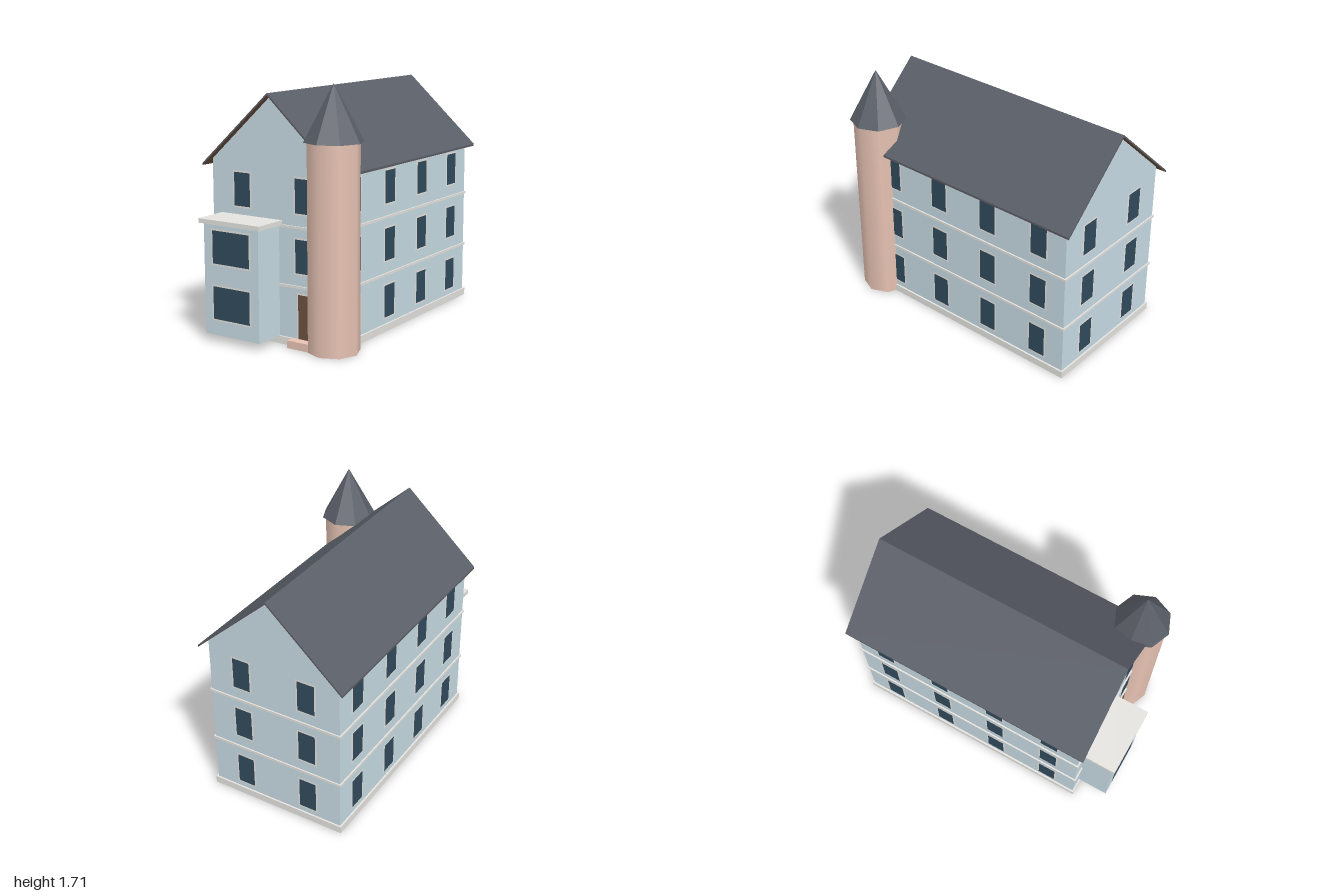
import * as THREE from 'three';

const material = (name, color, side = THREE.FrontSide) => {
  const m = new THREE.MeshStandardMaterial({ color, side });
  m.name = name;
  return m;
};

export function createModel() {
  const house = new THREE.Group();
  house.name = 'house';
  const wall = material('pale blue wall', 0xc7dae3);
  const stone = material('light stone', 0xe3e2de);
  const plaster = material('pink plaster', 0xe6c2b3, THREE.DoubleSide);
  const slate = material('dark slate', 0x5a5e67, THREE.DoubleSide);
  const wood = material('brown wood', 0x6a5240);
  const glass = material('window glass', 0x314a5c);

  const add = (name, geometry, mat, parent = house) => {
    const mesh = new THREE.Mesh(geometry, mat);
    mesh.name = name;
    parent.add(mesh);
    return mesh;
  };
  // Box given by its limits on each axis
  const box = (name, mat, [x0, x1], [y0, y1], [z0, z1]) => {
    const g = new THREE.BoxGeometry(x1 - x0, y1 - y0, z1 - z0);
    g.translate((x0 + x1) / 2, (y0 + y1) / 2, (z0 + z1) / 2);
    return add(name, g, mat);
  };
  // Profile in x and y, extruded from z0 to z1
  const prism = (name, mat, points, z0, z1) => {
    const shape = new THREE.Shape(points.map(([x, y]) => new THREE.Vector2(x, y)));
    const g = new THREE.ExtrudeGeometry(shape, { depth: z1 - z0, bevelEnabled: false });
    g.translate(0, 0, z0);
    return add(name, g, mat);
  };

  const ridge = -0.05, left = 0.437, right = -0.537, front = 0.757, back = -0.95;

  // Gabled body
  prism('body', wall, [[right, 0.04], [left, 0.04], [left, 1.171], [ridge, 1.613], [right, 1.171]], back, front);

  // Plinth and floor bands
  box('plinth', stone, [-0.55, 0.45], [0, 0.05], [-0.962, 0.769]);
  for (const y of [0.385, 0.774])
    box('floorBand', stone, [-0.547, 0.447], [y, y + 0.017], [-0.959, 0.767]);

  // Roof: slate chevron over a thin wooden lining
  const chevron = (top, bottom) => {
    const half = 0.535, drop = 0.485;
    return [[ridge - half, top - drop], [ridge - half, bottom - drop], [ridge, bottom],
      [ridge + half, bottom - drop], [ridge + half, top - drop], [ridge, top]];
  };
  prism('roof', slate, chevron(1.627, 1.614), -1, 0.805);
  prism('roofLining', wood, chevron(1.614, 1.612), -1, 0.805);

  // Two-storey bay: thin walls, open below, under a flat cap
  const bayHeight = [0.05, 0.79];
  box('bayFront', wall, [-0.438, 0], bayHeight, [0.974, 0.978]);
  for (const x of [-0.438, -0.004])
    box('baySide', wall, [x, x + 0.004], bayHeight, [front - 0.01, 0.976]);
  box('bayCap', stone, [-0.465, 0.024], [0.787, 0.817], [front - 0.01, 1]);

  // Eight-sided corner turret, open below
  const turret = new THREE.Group();
  turret.name = 'turret';
  turret.position.set(0.39, 0, 0.707);
  house.add(turret);
  add('turretWall', new THREE.CylinderGeometry(0.17, 0.17, 1.345, 8, 1, true).translate(0, 0.6725, 0), plaster, turret);
  const cone = new THREE.ConeGeometry(0.193, 0.363, 8, 1, true).toNonIndexed();
  cone.computeVertexNormals();
  add('turretRoof', cone.translate(0, 1.5235, 0), slate, turret);

  // Framed opening lying flat on a wall, turned to face outward
  const opening = (name, mat, x, y, z, turn, w, h) => {
    const g = new THREE.Group();
    g.name = name;
    g.position.set(x, y, z);
    g.rotation.y = turn;
    const edge = 0.024;
    add('frame', new THREE.PlaneGeometry(w + edge, h + edge).translate(0, 0, 0.002), stone, g);
    add('pane', new THREE.PlaneGeometry(w, h).translate(0, 0, 0.004), mat, g);
    house.add(g);
  };

  // Side and back windows on three floors
  const columns = [-0.293, 0.193];
  for (const y of [0.206, 0.596, 0.985]) {
    for (const z of [0.537, 0.114, -0.311, -0.736]) {
      opening('leftWindow', glass, left, y, z, Math.PI / 2, 0.125, 0.22);
      opening('rightWindow', glass, right, y, z, -Math.PI / 2, 0.125, 0.22);
    }
    for (const x of columns) opening('backWindow', glass, x, y, back, Math.PI, 0.125, 0.22);
  }

  // Front windows, bay windows and door
  for (const x of columns) opening('frontWindow', glass, x, 0.985, front, 0, 0.127, 0.223);
  opening('frontWindow', glass, 0.193, 0.595, front, 0, 0.127, 0.22);
  for (const y of [0.267, 0.637]) opening('bayWindow', glass, -0.219, y, 0.978, 0, 0.294, 0.218);
  opening('door', wood, 0.202, 0.197, front, 0, 0.105, 0.295);
  box('doorStep', plaster, [0.104, 0.272], [0, 0.051], [front, 0.825]);

  return house;
}
